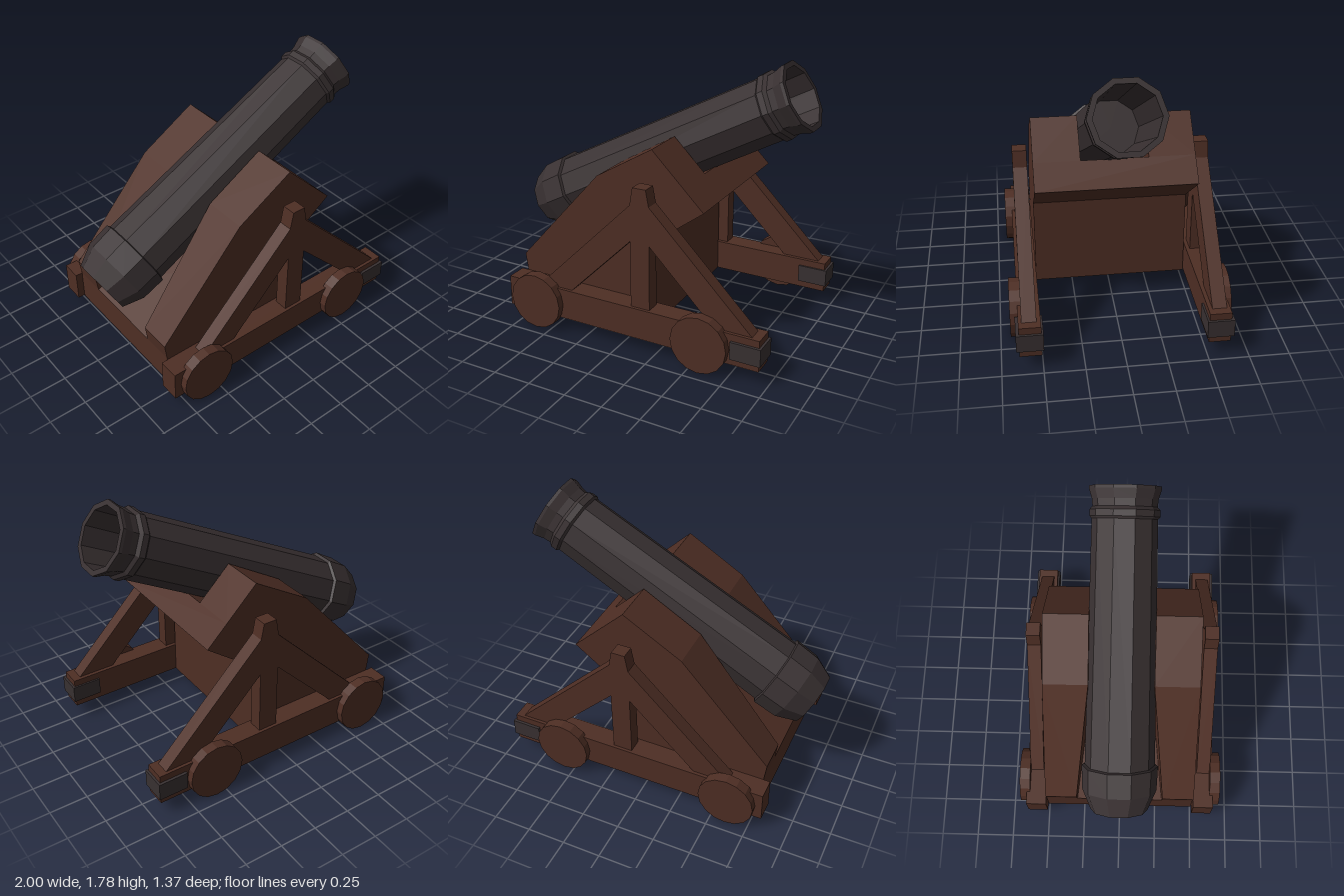
import * as THREE from 'three';

const wood = new THREE.MeshStandardMaterial({ color: 0x4e2e24 });
wood.name = 'dark wood';
const iron = new THREE.MeshStandardMaterial({ color: 0x383031 });
iron.name = 'dark iron';

function part(parent, name, geometry, material) {
  const mesh = new THREE.Mesh(geometry, material);
  mesh.name = name;
  parent.add(mesh);
  return mesh;
}

// Faceted normals
function faceted(geometry) {
  const g = geometry.toNonIndexed();
  g.computeVertexNormals();
  return g;
}

const points = (list) => list.map(([x, y]) => new THREE.Vector2(x, y));

// Side profile extruded from z0 to z1
function slab(outline, z0, z1, holes = []) {
  const shape = new THREE.Shape(points(outline));
  holes.forEach((h) => shape.holes.push(new THREE.Path(points(h))));
  return new THREE.ExtrudeGeometry(shape, { depth: z1 - z0, bevelEnabled: false }).translate(0, 0, z0);
}

function box(x0, x1, y0, y1, z0, z1) {
  return new THREE.BoxGeometry(x1 - x0, y1 - y0, z1 - z0)
    .translate((x0 + x1) / 2, (y0 + y1) / 2, (z0 + z1) / 2);
}

// Cheek block whose inner wall widens toward the breech
function cheek(outline) {
  const g = slab(outline, 0.21, 0.5);
  const p = g.attributes.position;
  for (let i = 0; i < p.count; i++) {
    if (p.getZ(i) < 0.3) p.setZ(i, 0.21 + 0.08 * Math.max(0, (-0.22 - p.getX(i)) / 0.58));
  }
  g.computeVertexNormals();
  return g;
}

function createSide(name) {
  const side = new THREE.Group();
  side.name = name;

  // Walls of the barrel channel
  part(side, 'rearCheek', cheek([[-0.785, 0.3], [-0.22, 0.68], [-0.22, 1.06], [-0.8, 0.41]]), wood);
  part(side, 'frontCheek', cheek([[-0.22, 0.68], [0.375, 1.083], [0.165, 1.29], [-0.22, 1.06]]), wood);

  // Ground beam with iron end bracket
  part(side, 'sideBeam', box(-0.83, 0.945, 0.09, 0.295, 0.505, 0.64), wood);
  part(side, 'endBracket', box(0.765, 0.96, 0.135, 0.25, 0.493, 0.658), iron);

  // Upright with two diagonal braces
  part(side, 'braceFrame', slab(
    [[-0.55, 0.25], [-0.59, 0.295], [-0.545, 0.25], [0.935, 0.25], [0.21, 0.975], [0.19, 1.08], [0.1, 1.08], [0.08, 0.965], [-0.59, 0.295]].slice(2),
    0.53, 0.62,
    [
      [[0.21, 0.27], [0.665, 0.27], [0.21, 0.725]],
      [[0.08, 0.27], [0.08, 0.73], [-0.38, 0.27]],
    ]), wood);

  // Solid disc wheels
  for (const [wheelName, x] of [['rearWheel', -0.6], ['frontWheel', 0.57]]) {
    const wheel = new THREE.CylinderGeometry(0.185, 0.185, 0.07, 16).rotateX(Math.PI / 2);
    part(side, wheelName, faceted(wheel), wood).position.set(x, 0.185, 0.652);
  }
  return side;
}

export function createModel() {
  const model = new THREE.Group();
  model.name = 'cannon';

  // Carriage bed with sloping channel floor
  part(model, 'carriageBed', slab([
    [-0.785, 0.09], [0.15, 0.09], [0.15, 0.68], [0.51, 0.95],
    [0.375, 1.083], [-0.22, 0.68], [-0.785, 0.3],
  ], -0.5, 0.5), wood);

  // Mirrored sides
  model.add(createSide('leftSide'));
  const right = createSide('rightSide');
  right.scale.z = -1;
  model.add(right);

  // Ten-sided barrel: breech, band, tube, muzzle ring, flare and bore
  const profile = points([
    [0, 0], [0.184, 0], [0.24, 0.134], [0.246, 0.293], [0.226, 0.3],
    [0.206, 1.86], [0.22, 1.875], [0.22, 1.915], [0.202, 1.935],
    [0.206, 1.98], [0.224, 2.04], [0.224, 2.06],
    [0.19, 2.06], [0.18, 1.2], [0, 1.2],
  ]);
  const barrel = part(model, 'barrel', faceted(new THREE.LatheGeometry(profile, 10)), iron);
  barrel.position.set(-0.915, 0.615, 0);
  barrel.rotation.z = THREE.MathUtils.degToRad(28.2 - 90);

  return model;
}
